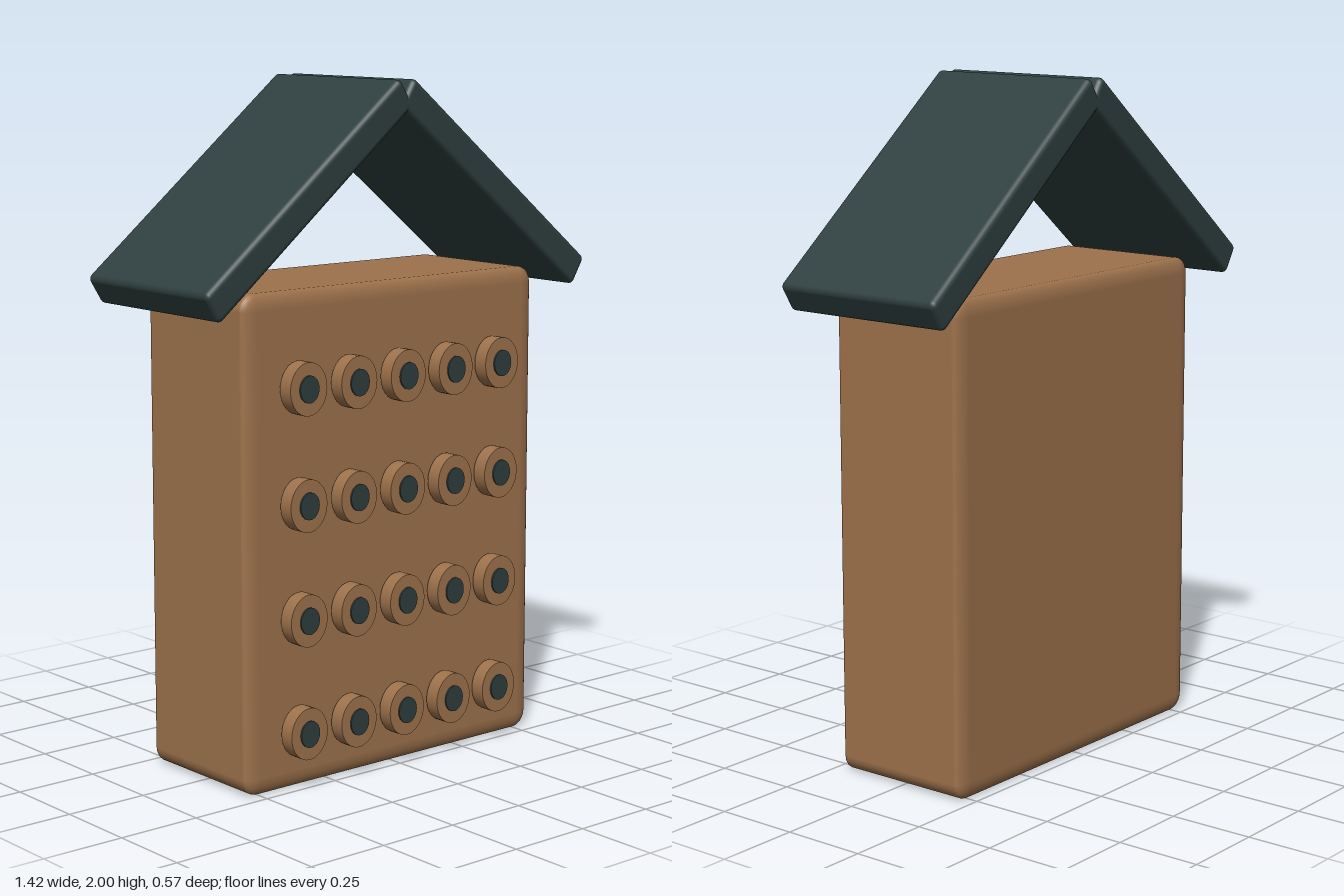
import * as THREE from 'three';
import { RoundedBoxGeometry } from 'three/addons/geometries/RoundedBoxGeometry.js';

const SQUASH = 0.866; // the whole design is slightly narrowed across x

export function createModel() {
  const wood = new THREE.MeshStandardMaterial({ color: 0x9e724c });
  wood.name = 'warm wood';
  const slate = new THREE.MeshStandardMaterial({ color: 0x2f3f3f });
  slate.name = 'dark slate';

  const model = new THREE.Group();
  model.name = 'insectHouse';

  const add = (name, geometry, material, x, y, z, parent = model) => {
    const mesh = new THREE.Mesh(geometry, material);
    mesh.name = name;
    mesh.position.set(x, y, z);
    parent.add(mesh);
    return mesh;
  };

  // Body: rounded block with shallower rounding along its depth
  const bodyGeometry = new RoundedBoxGeometry(1.1, 1.43, 1, 3, 0.05);
  bodyGeometry.scale(1, 1, 0.45);
  add('body', bodyGeometry, wood, 0, 0.715, -0.003);

  // Roof: two mirrored sloping boards meeting at the ridge
  const roof = new THREE.Group();
  roof.name = 'roof';
  roof.scale.x = SQUASH;
  model.add(roof);
  const boardGeometry = new RoundedBoxGeometry(0.975, 0.1, 0.56, 3, 0.018);
  for (const side of [-1, 1]) {
    const board = add(side > 0 ? 'leftRoofBoard' : 'rightRoofBoard',
      boardGeometry, slate, side * 0.4, 1.685, -0.005, roof);
    board.rotation.z = -side * THREE.MathUtils.degToRad(35);
  }

  // Nesting tubes: a 5 by 4 grid of short discs with dark entrances
  const disc = (radius, depth) => {
    const geometry = new THREE.CylinderGeometry(radius, radius, depth, 32);
    geometry.rotateX(Math.PI / 2);
    geometry.scale(SQUASH, 1, 1);
    return geometry;
  };
  const tubeGeometry = disc(0.076, 0.046);
  const holeGeometry = disc(0.039, 0.02);
  for (let row = 0; row < 4; row++) {
    for (let column = 0; column < 5; column++) {
      const x = (column - 2) * 0.184;
      const y = 0.17 + row * 0.33;
      add('nestingTube', tubeGeometry, wood, x, y, 0.257);
      add('tubeEntrance', holeGeometry, slate, x, y, 0.275);
    }
  }

  return model;
}
